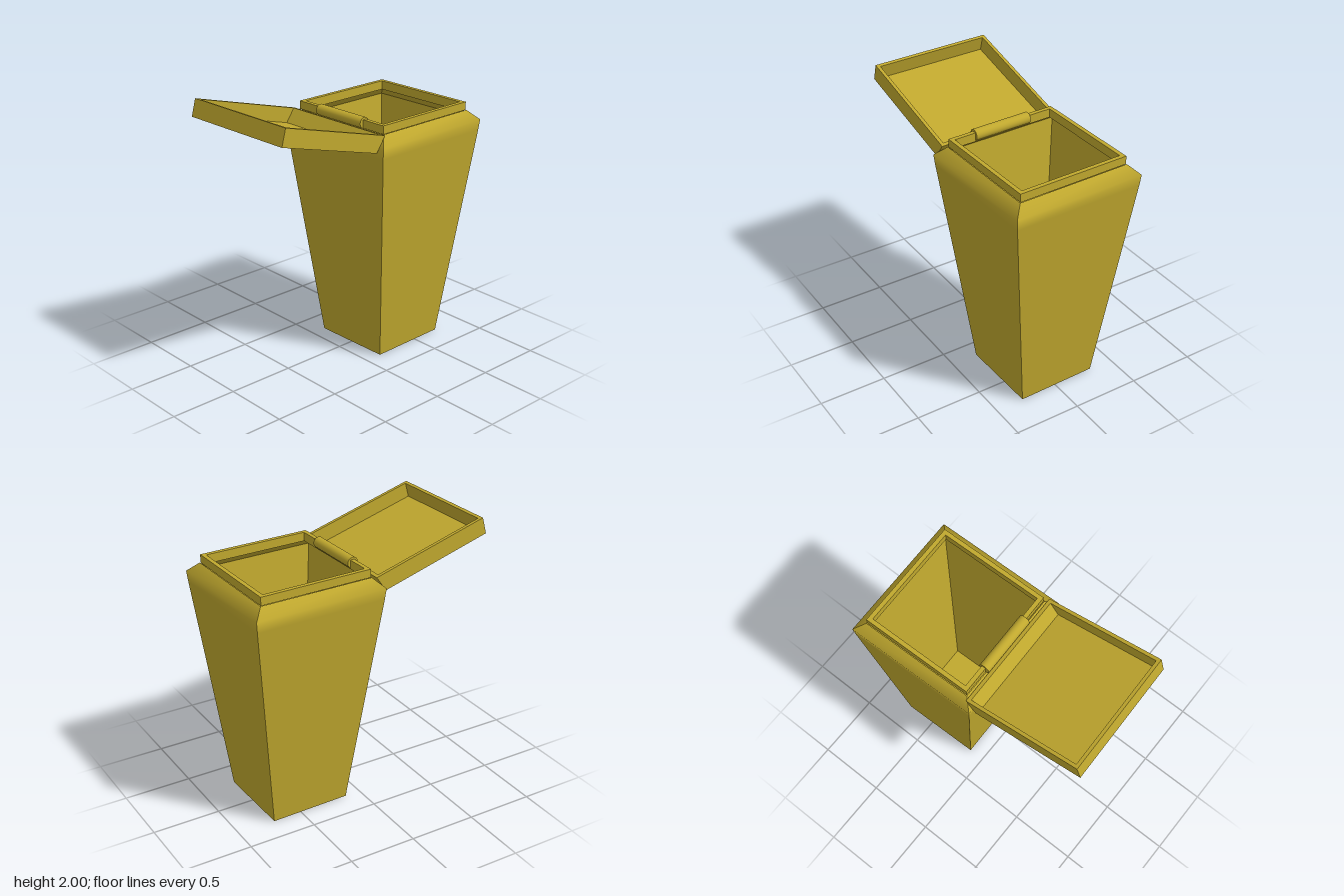
import * as THREE from 'three';
import { mergeGeometries } from 'three/addons/utils/BufferGeometryUtils.js';

const gold = new THREE.MeshStandardMaterial({ color: 0xc0a82e });
gold.name = 'mustard yellow';

// Corners of a rectangular ring [x0, x1, halfDepth, y], counter-clockwise from above.
const corners = ([x0, x1, h, y]) => [[x1, y, h], [x1, y, -h], [x0, y, -h], [x0, y, h]];

function surface(points, index) {
  const g = new THREE.BufferGeometry();
  g.setAttribute('position', new THREE.Float32BufferAttribute(points.flat(), 3));
  g.setIndex(index);
  g.computeVertexNormals();
  return g;
}

// Four-sided walls through rings; shading is smooth along one run, sharp between runs and sides.
function loft(runs) {
  const parts = [];
  for (const run of runs) {
    const rings = run.map(corners);
    for (let s = 0; s < 4; s++) {
      const pts = [], idx = [];
      rings.forEach((r, i) => {
        pts.push(r[s], r[(s + 1) % 4]);
        const a = i * 2;
        if (i) idx.push(a - 2, a - 1, a + 1, a - 2, a + 1, a);
      });
      parts.push(surface(pts, idx));
    }
  }
  // Underside and inside floor
  parts.push(surface(corners(runs[0][0]), [0, 2, 1, 0, 3, 2]));
  parts.push(surface(corners(runs.at(-1).at(-1)), [0, 1, 2, 0, 2, 3]));
  return mergeGeometries(parts);
}

function addMesh(parent, name, geometry) {
  const mesh = new THREE.Mesh(geometry, gold);
  mesh.name = name;
  parent.add(mesh);
  return mesh;
}

export function createModel() {
  const model = new THREE.Group();
  model.name = 'openBin';
  const bin = new THREE.Group();
  bin.name = 'bin';
  bin.rotation.y = 0.022;
  model.add(bin);

  // Tapered hollow body with bevelled shoulder and raised rim
  const cx = 0.425;
  const sq = (half, y) => [cx - half, cx + half, half, y];
  addMesh(bin, 'body', loft([
    [sq(0.3, 0), sq(0.486, 1.6), sq(0.494, 1.68), sq(0.422, 1.75)],
    [sq(0.418, 1.75), sq(0.418, 1.81)],
    [sq(0.418, 1.81), sq(0.387, 1.81)],
    [sq(0.387, 1.81), sq(0.387, 1.745)],
    [sq(0.387, 1.745), sq(0.41, 1.745)],
    [sq(0.41, 1.745), sq(0.484, 1.675)],
    [sq(0.484, 1.675), sq(0.297, 0.015)],
  ]));

  // Shallow tray lid, swung open, slanted on the hinge side
  const lid = addMesh(bin, 'lid', loft([
    [[0, 0.865, 0.455, 0], [0, 0.91, 0.455, 0.125]],
    [[0, 0.91, 0.455, 0.125], [0.025, 0.882, 0.43, 0.125]],
    [[0.025, 0.882, 0.43, 0.125], [0.025, 0.842, 0.43, 0.015]],
  ]));
  lid.position.set(-0.925, 1.878, 0);
  lid.rotation.z = -0.27;

  // Hinge barrel between lid and rim
  const hinge = addMesh(bin, 'hinge', new THREE.CylinderGeometry(0.04, 0.04, 0.44, 24));
  hinge.rotation.x = Math.PI / 2;
  hinge.position.set(0.018, 1.787, 0.005);

  return model;
}
